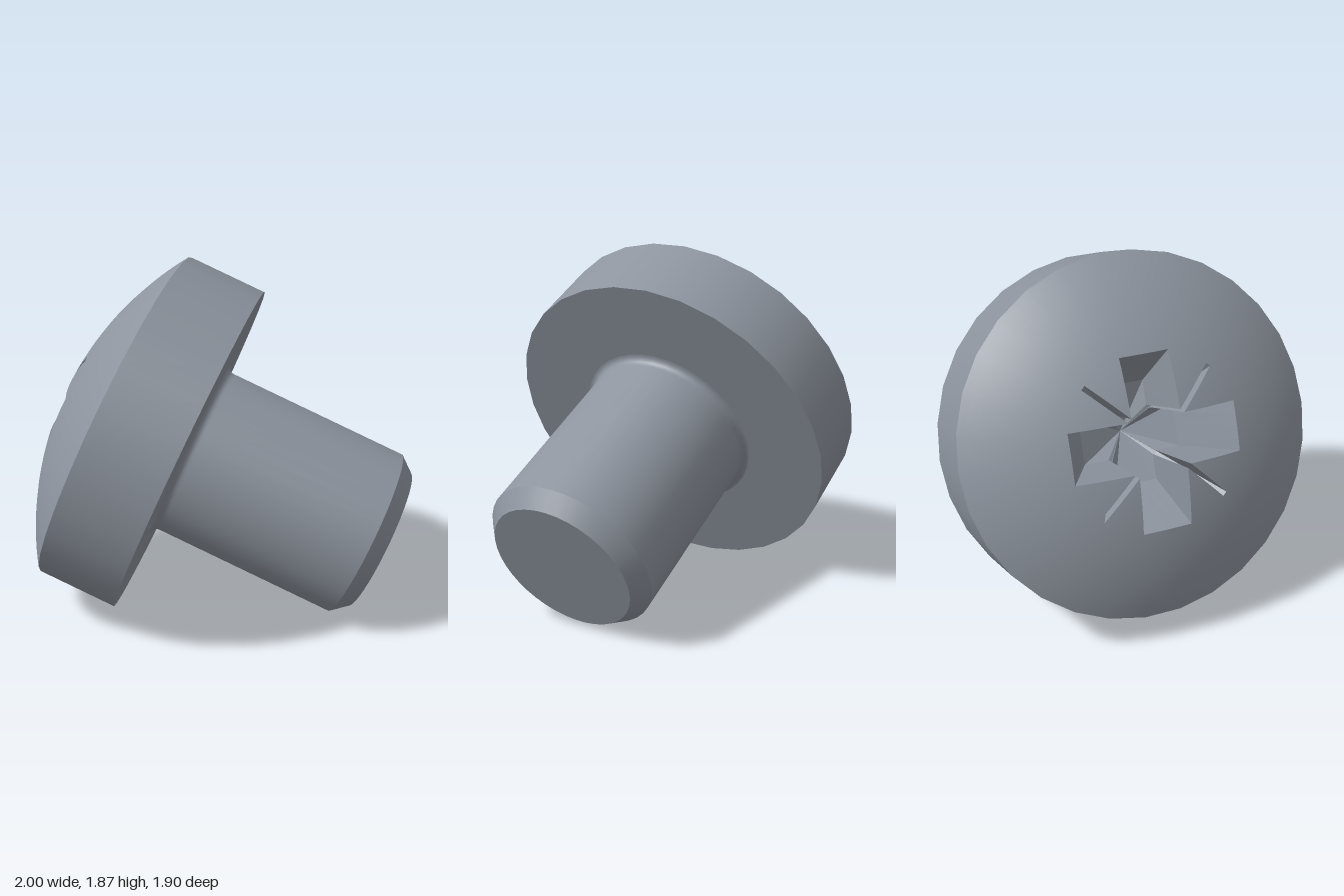
import * as THREE from 'three';

const SEG = 30;
const HEAD_R = 0.93, RIM_H = 0.43, DOME_R = 1.63;
const SHAFT_R = 0.465, FILLET = 0.04;
const CENTRE_Y = RIM_H - Math.sqrt(DOME_R ** 2 - HEAD_R ** 2);
const domeY = r => CENTRE_Y + Math.sqrt(DOME_R ** 2 - r * r);

// Cross-shaped recess outline with four thin diagonal slits, as [x, z] points
function recessOutline(arm, half, slitReach, slitHalf) {
  const q = slitHalf * Math.SQRT2;
  const t = slitReach / Math.SQRT2, s = slitHalf / Math.SQRT2;
  const quarter = [[arm, half], [half + q, half], [t + s, t - s], [t - s, t + s], [half, half + q], [half, arm]];
  const corners = [];
  for (let k = 0; k < 4; k++) {
    const c = Math.round(Math.cos(k * Math.PI / 2)), n = Math.round(Math.sin(k * Math.PI / 2));
    for (const [x, z] of quarter) corners.push([c * x - n * z, n * x + c * z]);
  }
  // Split every edge so the dome around it stays round
  const points = [];
  corners.forEach(([x, z], i) => {
    const [x2, z2] = corners[(i + 1) % corners.length];
    for (let k = 0; k < 4; k++) points.push([x + (x2 - x) * k / 4, z + (z2 - z) * k / 4]);
  });
  return points;
}

// Closed surface through rings of equal point count, inner ring first
function loft(rings) {
  const n = rings[0].length, index = [];
  for (let j = 0; j < rings.length - 1; j++) {
    for (let i = 0; i < n; i++) {
      const a = j * n + i, b = j * n + (i + 1) % n;
      index.push(a, b, a + n, b, b + n, a + n);
    }
  }
  const geometry = new THREE.BufferGeometry();
  geometry.setAttribute('position', new THREE.Float32BufferAttribute(rings.flat(2), 3));
  geometry.setIndex(index);
  return geometry;
}

export function createModel() {
  const group = new THREE.Group();
  group.name = 'screw';
  const steel = new THREE.MeshStandardMaterial({ color: 0x8d949e });
  steel.name = 'steel';

  const add = (name, geometry) => {
    const mesh = new THREE.Mesh(geometry, steel);
    mesh.name = name;
    group.add(mesh);
  };
  const lathe = (name, profile, segments = SEG) => add(name, new THREE.LatheGeometry(
    profile.map(([r, y]) => new THREE.Vector2(r, y)), segments, Math.PI / segments));

  // Shaft with chamfered tip and a small fillet under the head
  lathe('tipFace', [[0, -1.125], [0.393, -1.125]], 40);
  lathe('tipChamfer', [[0.393, -1.125], [SHAFT_R, -1.037]], 40);
  const shaft = [[SHAFT_R, -1.037], [SHAFT_R, -FILLET - 0.01]];
  for (let i = 0; i <= 6; i++) {
    const a = i / 6 * Math.PI / 2;
    shaft.push([SHAFT_R + FILLET * (1 - Math.cos(a)), FILLET * (Math.sin(a) - 1)]);
  }
  lathe('shaft', shaft, 40);

  // Head
  lathe('headUnderside', [[SHAFT_R, 0], [HEAD_R, 0]]);
  lathe('headSide', [[HEAD_R, 0], [HEAD_R, RIM_H]]);
  const dome = [];
  for (let i = 0; i <= 10; i++) {
    const r = HEAD_R + (0.55 - HEAD_R) * i / 10;
    dome.push([r, domeY(r)]);
  }
  lathe('headDome', dome);

  // Crown of the dome, running from the recess edge out to the dome
  const mouth = recessOutline(0.434, 0.127, 0.46, 0.013);
  const onDome = ([x, z]) => [x, domeY(Math.hypot(x, z)), z];
  const rings = [];
  for (let j = 0; j <= 8; j++) {
    rings.push(mouth.map(([x, z]) => {
      const r = Math.hypot(x, z), k = 1 + (0.57 / r - 1) * j / 8;
      return onDome([x * k, z * k]);
    }));
  }
  const crown = loft(rings);
  const normals = [];
  for (const [x, y, z] of rings.flat()) {
    normals.push(x / DOME_R, (y - CENTRE_Y) / DOME_R, z / DOME_R);
  }
  crown.setAttribute('normal', new THREE.Float32BufferAttribute(normals, 3));
  add('headCrown', crown);

  // Drive recess: tapering walls and a conical floor
  const floor = recessOutline(0.26, 0.113, 0.18, 0.012).map(([x, z]) => [x, 0.30, z]);
  const walls = loft([floor, mouth.map(onDome)]).toNonIndexed();
  walls.computeVertexNormals();
  add('recessWalls', walls);
  const cone = loft([floor.map(() => [0, 0.17, 0]), floor]).toNonIndexed();
  cone.computeVertexNormals();
  add('recessFloor', cone);

  // Tilt the screw so it rests on its rim and tip
  const up = new THREE.Vector3(-0.895, 0.405, -0.188).normalize();
  const side = new THREE.Vector3(-up.z, 0, up.x).normalize();
  const third = new THREE.Vector3().crossVectors(side, up);
  group.quaternion.setFromRotationMatrix(new THREE.Matrix4().makeBasis(side, up, third));
  group.position.set(-0.18, 0.852, 0.037);

  const model = new THREE.Group();
  model.name = 'tiltedScrew';
  model.add(group);
  return model;
}
